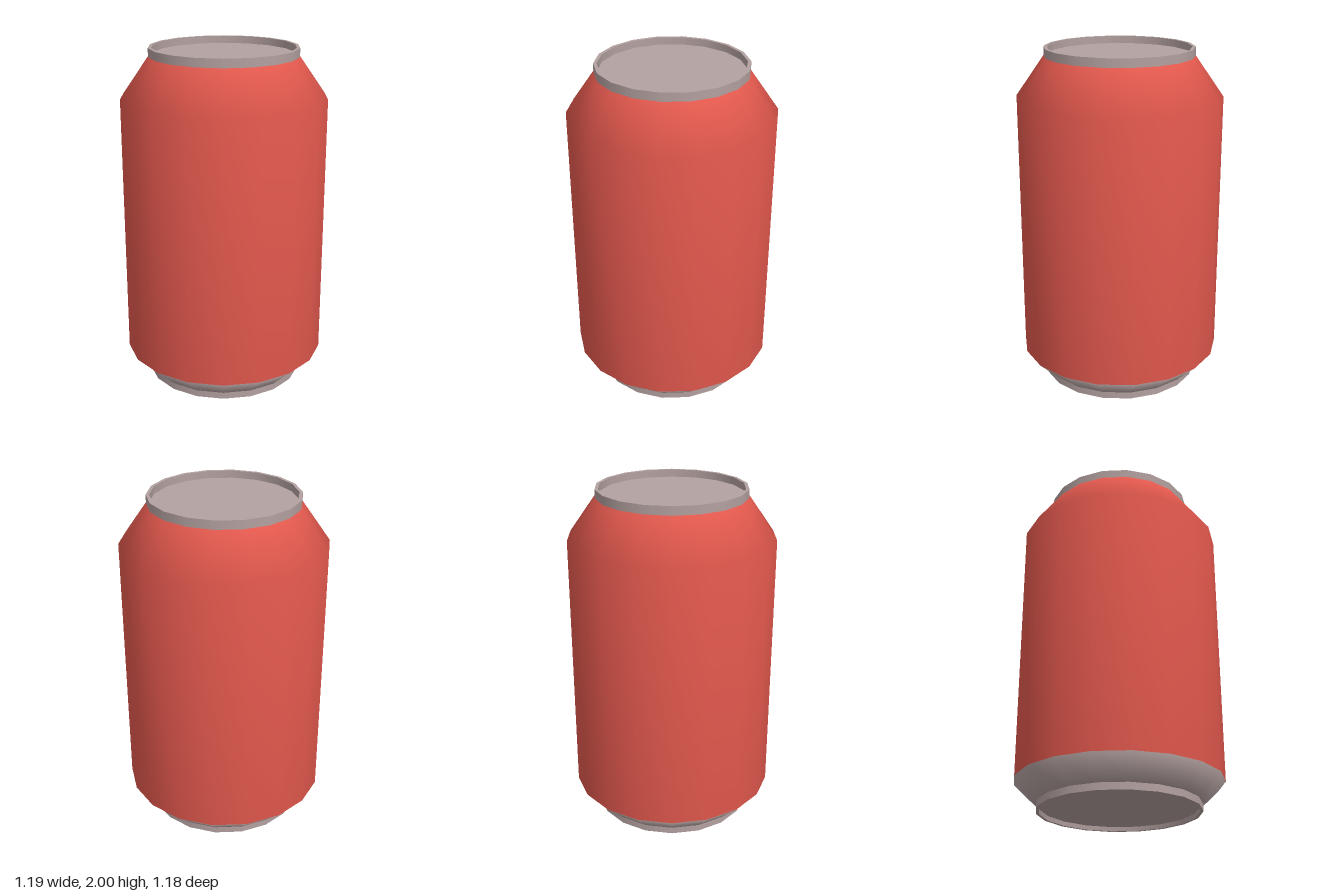
import * as THREE from 'three';

const SIDES = 18;

export function createModel() {
  const can = new THREE.Group();
  can.name = 'drinkCan';

  const red = new THREE.MeshStandardMaterial({ color: 0xe4594e });
  red.name = 'red paint';
  const metal = new THREE.MeshStandardMaterial({ color: 0xb3a1a0 });
  metal.name = 'bare metal';

  // Turns a profile of [radius, height] points, with a corner on the x axis
  const turn = (name, profile, material) => {
    const points = profile.map(([r, y]) => new THREE.Vector2(r, y));
    const geometry = new THREE.LatheGeometry(points, SIDES, Math.PI / 2);
    const mesh = new THREE.Mesh(geometry, material);
    mesh.name = name;
    can.add(mesh);
    return mesh;
  };

  // Body: metal lower taper, painted wall and shoulder, smoothed together
  const body = turn('body', [[0.467, 0.04], [0.597, 0.165], [0.597, 1.715], [0.432, 1.95]], [metal, red]);
  for (let i = 0; i < SIDES; i++) {
    body.geometry.addGroup(i * 18, 6, 0);
    body.geometry.addGroup(i * 18 + 6, 12, 1);
  }

  // Foot ring around the recessed base; separate bands keep the edges sharp
  turn('base', [[0, 0.025], [0.447, 0.025]], metal);
  turn('footInnerWall', [[0.447, 0.025], [0.45, 0]], metal);
  turn('footEdge', [[0.45, 0], [0.467, 0]], metal);
  turn('footOuterWall', [[0.467, 0], [0.467, 0.04]], metal);

  // Top rim around the recessed lid
  turn('rimOuterWall', [[0.432, 1.95], [0.432, 2]], metal);
  turn('rimEdge', [[0.432, 2], [0.413, 2]], metal);
  turn('rimInnerWall', [[0.413, 2], [0.413, 1.957]], metal);
  turn('lid', [[0.413, 1.957], [0, 1.957]], metal);

  return can;
}
